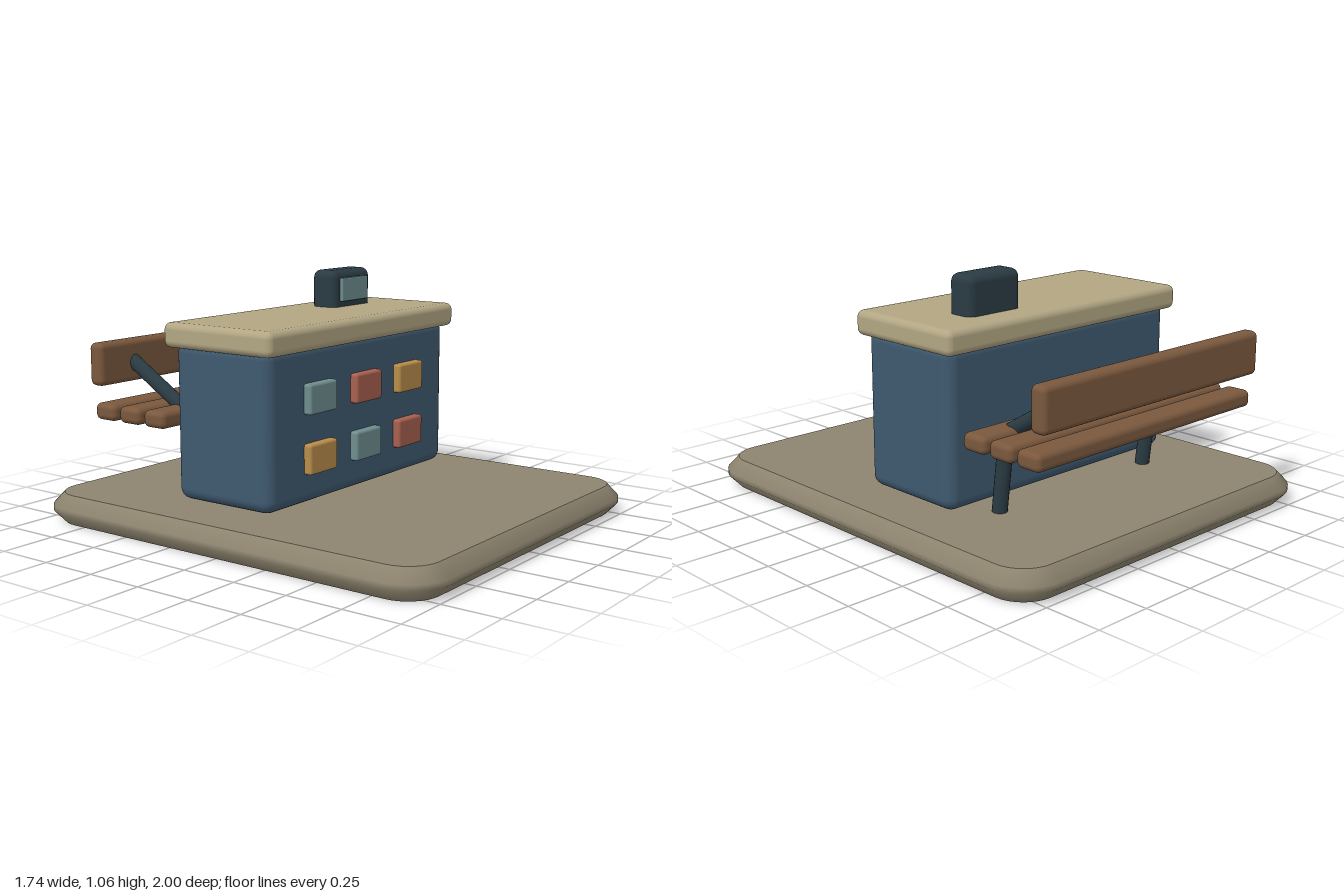
import * as THREE from 'three';
import { toCreasedNormals } from 'three/addons/utils/BufferGeometryUtils.js';
import { RoundedBoxGeometry } from 'three/addons/geometries/RoundedBoxGeometry.js';

const mat = (name, color) => {
  const m = new THREE.MeshStandardMaterial({ color });
  m.name = name;
  return m;
};

export function createModel() {
  const group = new THREE.Group();
  const stone = mat('stone', 0x8d846f);
  const blue = mat('slate blue', 0x3f5a70);
  const cream = mat('cream', 0xb2a683);
  const dark = mat('dark iron', 0x2a3b43);
  const wood = mat('wood', 0x7a583d);
  const teal = mat('teal', 0x6f8e8f);
  const red = mat('brick red', 0xa86050);
  const amber = mat('amber', 0xb88c4a);

  const add = (name, geometry, material) => {
    const mesh = new THREE.Mesh(geometry, material);
    mesh.name = name;
    group.add(mesh);
    return mesh;
  };

  // Rounded box given by its min and max on each axis
  const box = (name, material, [x0, x1], [y0, y1], [z0, z1], radius) => {
    const mesh = add(name, new RoundedBoxGeometry(x1 - x0, y1 - y0, z1 - z0, 3, radius), material);
    mesh.position.set((x0 + x1) / 2, (y0 + y1) / 2, (z0 + z1) / 2);
    return mesh;
  };

  // Round bar between two points
  const bar = (name, material, a, b, radius) => {
    const dir = b.clone().sub(a);
    const mesh = add(name, new THREE.CylinderGeometry(radius, radius, dir.length(), 16), material);
    mesh.position.copy(a).add(b).multiplyScalar(0.5);
    mesh.quaternion.setFromUnitVectors(new THREE.Vector3(0, 1, 0), dir.normalize());
    return mesh;
  };

  // Base slab: rounded rectangle with chamfered rim
  const w = 0.82, d = 0.95, r = 0.14;
  const outline = new THREE.Shape();
  outline.absarc(w - r, d - r, r, 0, Math.PI / 2);
  outline.absarc(r - w, d - r, r, Math.PI / 2, Math.PI);
  outline.absarc(r - w, r - d, r, Math.PI, Math.PI * 1.5);
  outline.absarc(w - r, r - d, r, Math.PI * 1.5, Math.PI * 2);
  const slab = new THREE.ExtrudeGeometry(outline, {
    depth: 0.024, bevelThickness: 0.053, bevelSize: 0.05, bevelSegments: 1, curveSegments: 4,
  });
  slab.rotateX(-Math.PI / 2).translate(0, 0.053, 0);
  add('base', toCreasedNormals(slab, 0.78), stone);

  // Cabinet, lid and the small display on top
  box('cabinet', blue, [-0.645, 0.645], [0.15, 0.82], [-0.37, 0.13], 0.05);
  box('lid', cream, [-0.675, 0.675], [0.79, 0.895], [-0.405, 0.165], 0.03);
  box('display', dark, [0.165, 0.45], [0.84, 1.06], [-0.28, -0.15], 0.035);
  box('displayScreen', teal, [0.21, 0.405], [0.92, 1.025], [-0.165, -0.135], 0.005);

  // Two rows of coloured front panels
  [[teal, red, amber], [amber, teal, red]].forEach((row, j) => row.forEach((material, i) => {
    const x = (i - 1) * 0.3225, y = 0.593 - j * 0.25;
    box('panel', material, [x - 0.093, x + 0.093], [y - 0.064, y + 0.064], [0.105, 0.165], 0.012);
  }));

  // Bench seat slats and backrest
  for (const z of [-0.5, -0.645, -0.79]) {
    box('seatSlat', wood, [-0.645, 0.645], [0.433, 0.507], [z - 0.06, z + 0.06], 0.025);
  }
  box('backrest', wood, [-0.645, 0.645], [0.58, 0.768], [-0.877, -0.8], 0.025);

  // Bench legs and back supports
  for (const x of [-0.438, 0.438]) {
    bar('benchLeg', dark, new THREE.Vector3(x, 0.13, -0.435), new THREE.Vector3(x, 0.48, -0.475), 0.032);
    bar('backSupport', dark, new THREE.Vector3(x, 0.468, -0.478), new THREE.Vector3(x, 0.688, -0.84), 0.032);
  }

  return group;
}
